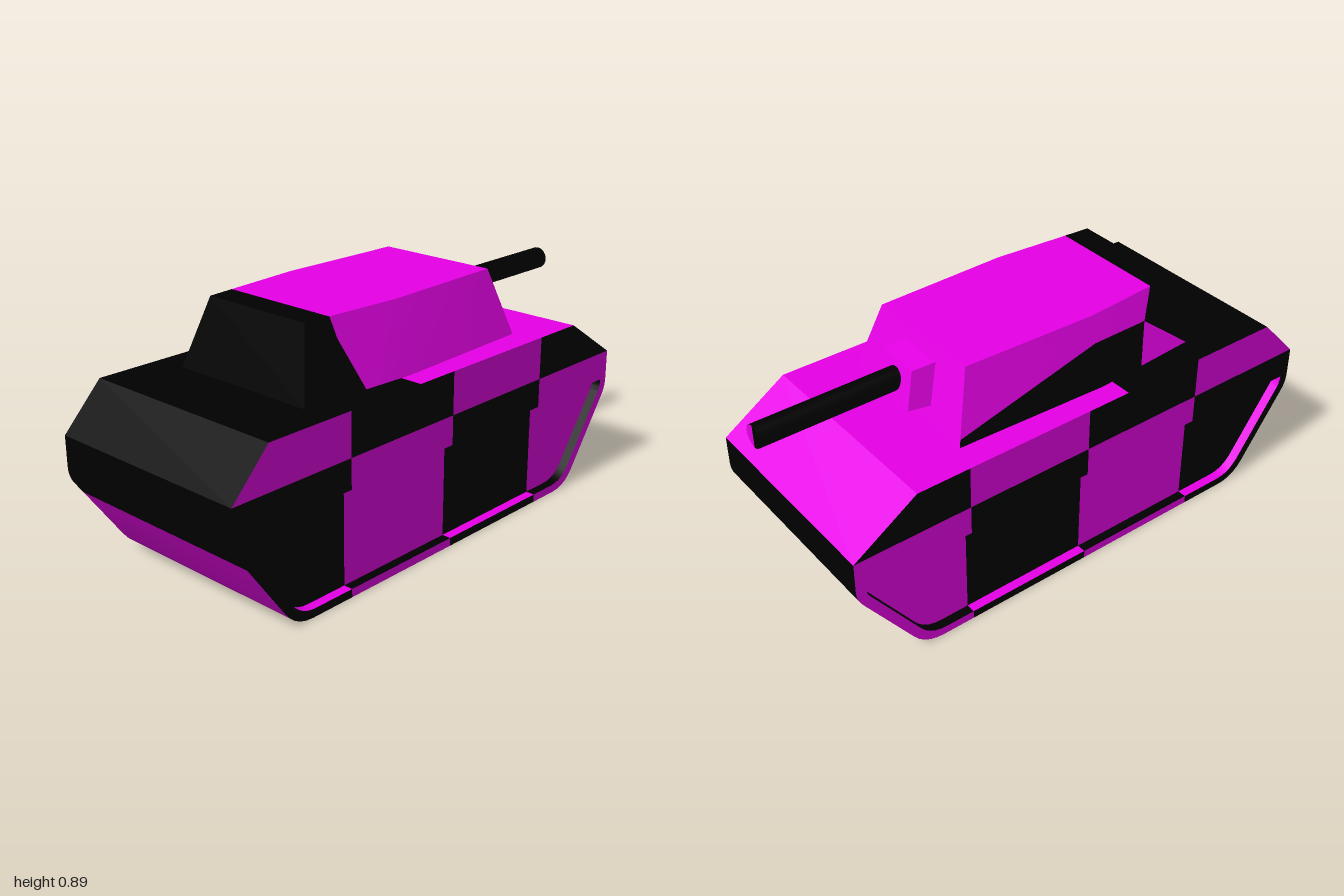
import * as THREE from 'three';
import { toCreasedNormals } from 'three/addons/utils/BufferGeometryUtils.js';

const BLACK = 0, PINK = 1;
const HALF = 0.403, DEPTH = 0.035;
const COLUMNS = [-0.505, -0.01, 0.48];

// Collects convex polygons into one bucket per colour
class Part {
  constructor(name) { this.name = name; this.buckets = [[], []]; }
  add(pts, out, colour) {
    const p = pts.map(a => new THREE.Vector3(...a));
    const n = new THREE.Vector3();
    for (let i = 1; i < p.length - 1; i++) {
      n.add(p[i].clone().sub(p[0]).cross(p[i + 1].clone().sub(p[0])));
    }
    if (p.length < 3 || n.length() < 1e-9) return;
    if (n.dot(new THREE.Vector3(...out)) < 0) p.reverse();
    for (let i = 1; i < p.length - 1; i++) {
      for (const v of [p[0], p[i], p[i + 1]]) this.buckets[colour].push(v.x, v.y, v.z);
    }
  }
  mesh(materials) {
    const geo = new THREE.BufferGeometry();
    const [a, b] = this.buckets;
    geo.setAttribute('position', new THREE.Float32BufferAttribute([...a, ...b], 3));
    geo.addGroup(0, a.length / 3, BLACK);
    geo.addGroup(a.length / 3, b.length / 3, PINK);
    const mesh = new THREE.Mesh(toCreasedNormals(geo, 0.5), materials);
    mesh.name = this.name;
    return mesh;
  }
}

// Cuts a convex polygon at an axis value into [lower, higher]
function split(pts, axis, value) {
  const low = [], high = [];
  pts.forEach((a, i) => {
    const b = pts[(i + 1) % pts.length];
    const da = a[axis] - value, db = b[axis] - value;
    if (da <= 0) low.push(a);
    if (da >= 0) high.push(a);
    if (da * db < 0) {
      const c = a.map((v, k) => v + (b[k] - v) * da / (da - db));
      low.push(c);
      high.push(c);
    }
  });
  return [low, high];
}

// Alternates the colours along the length of a side face
function addColumns(part, pts, out, first) {
  let rest = pts;
  COLUMNS.forEach((x, i) => {
    const [low, high] = split(rest, 0, x);
    part.add(low, out, (first + i) % 2);
    rest = high;
  });
  part.add(rest, out, (first + 3) % 2);
}

// Lower hull outline from front to rear with rounded corners
function lowerChain(ends, corners, cuts) {
  const all = [ends[0], ...corners, ends[1]].map(p => new THREE.Vector2(...p));
  const chain = [ends[0]];
  corners.forEach((_, i) => {
    const c = all[i + 1];
    const toward = q => c.clone().add(q.clone().sub(c).setLength(cuts[i]));
    new THREE.QuadraticBezierCurve(toward(all[i]), c, toward(all[i + 2]))
      .getPoints(5).forEach(p => chain.push([p.x, p.y]));
  });
  chain.push(ends[1]);
  return chain;
}

function buildHull(materials) {
  const group = new THREE.Group();
  group.name = 'hull';
  const outer = lowerChain([[0.92, 0.38], [-1, 0.38]],
    [[0.92, 0.342], [0.677, 0], [-0.757, 0], [-1, 0.342]], [0.036, 0.075, 0.075, 0.036]);
  const inner = lowerChain([[0.885, 0.38], [-0.965, 0.38]],
    [[0.885, 0.353], [0.655, 0.03], [-0.735, 0.03], [-0.965, 0.353]], [0.025, 0.065, 0.065, 0.025]);

  // Plates across the width: deck, nose, belly and tail
  const shell = new Part('hullShell');
  const loop = [...outer, [-1, 0.488], [-0.85, 0.645], [0.68, 0.645], [0.92, 0.488]];
  loop.forEach((a, i) => {
    const b = loop[(i + 1) % loop.length];
    const quad = [[...a, HALF], [...b, HALF], [...b, -HALF], [...a, -HALF]];
    const out = [b[1] - a[1], a[0] - b[0], 0].map(v => -v);
    // the loop runs clockwise, so outward is to the right of travel
    const mid = [(a[0] + b[0]) / 2 + 0.04, (a[1] + b[1]) / 2 - 0.33, 0];
    const dir = out[0] * mid[0] + out[1] * mid[1] < 0 ? out.map(v => -v) : out;
    if (a[1] + b[1] > 1) {
      const [rear, front] = split(quad, 0, -0.18);
      shell.add(rear, dir, BLACK);
      shell.add(front, dir, PINK);
    } else {
      const [rear, front] = split(quad, 0, 0.05);
      const [belly, tail] = split(rear, 1, 0.27);
      shell.add(front, dir, BLACK);
      shell.add(belly, dir, PINK);
      shell.add(tail, dir, BLACK);
    }
  });
  group.add(shell.mesh(materials));

  // Both sides, each with a shallow recessed panel
  for (const s of [1, -1]) {
    const side = new Part(s > 0 ? 'frontSide' : 'backSide');
    const recess = new Part(s > 0 ? 'frontRecess' : 'backRecess');
    const at = (pts, z) => pts.map(p => [...p, s * z]);
    const out = [0, 0, s];
    addColumns(side, at([[-1, 0.488], [0.92, 0.488], [0.68, 0.645], [-0.85, 0.645]], HALF), out, PINK);
    addColumns(side, at([[-1, 0.38], [0.92, 0.38], [0.92, 0.488], [-1, 0.488]], HALF), out, BLACK);
    for (let i = 0; i < outer.length - 1; i++) {
      addColumns(side, at([outer[i], outer[i + 1], inner[i + 1], inner[i]], HALF), out, BLACK);
    }
    addColumns(recess, at(inner, HALF - DEPTH), out, BLACK);
    inner.forEach((a, i) => {
      const b = inner[(i + 1) % inner.length];
      const wall = [...at([a, b], HALF), ...at([b, a], HALF - DEPTH)];
      addColumns(recess, wall, [-0.04 - (a[0] + b[0]) / 2, 0.2 - (a[1] + b[1]) / 2, 0], PINK);
    });
    group.add(side.mesh(materials), recess.mesh(materials));
  }
  return group;
}

function buildTurret(materials) {
  const turret = new Part('turret');
  // Half-plan corners, front to rear: [x, z] at the base and at the roof
  const base = [[0.445, 0.30], [-0.14, 0.322], [-0.595, 0.29]];
  const roof = [[0.37, 0.235], [-0.13, 0.25], [-0.52, 0.22]];
  const corner = (i, v, s) => [
    base[i][0] + (roof[i][0] - base[i][0]) * v, 0.645 + 0.245 * v,
    s * (base[i][1] + (roof[i][1] - base[i][1]) * v)];
  // A patch on one side panel, given as [along, up] fractions
  const patch = (i, s, uv, colour) => turret.add(uv.map(([u, v]) => {
    const a = corner(i, v, s), b = corner(i + 1, v, s);
    return a.map((n, k) => n + (b[k] - n) * u);
  }), [0, 0, s], colour);

  const top = [0, 1, 2].map(i => corner(i, 1, 1)).concat([2, 1, 0].map(i => corner(i, 1, -1)));
  const [rear, front] = split(top, 0, -0.42);
  turret.add(rear, [0, 1, 0], BLACK);
  turret.add(front, [0, 1, 0], PINK);
  const end = i => [corner(i, 0, 1), corner(i, 1, 1), corner(i, 1, -1), corner(i, 0, -1)];
  turret.add(end(0), [1, 0, 0], PINK);
  turret.add(end(2), [-1, 0, 0], BLACK);

  patch(0, 1, [[0, 0], [1, 0], [1, 1], [0, 1]], PINK);
  patch(1, 1, [[0, 0], [0.43, 0], [0.67, 0.71], [0.74, 1], [0, 1]], PINK);
  patch(1, 1, [[1, 0], [1, 1], [0.74, 1], [0.67, 0.71], [0.43, 0]], BLACK);

  patch(0, -1, [[0, 1], [1, 1], [1, 0.62], [0, 0.1]], PINK);
  patch(0, -1, [[0, 0.1], [1, 0.62], [1, 0], [0, 0]], BLACK);
  patch(1, -1, [[0, 1], [0.74, 1], [0.56, 0.58], [0, 0.62]], PINK);
  patch(1, -1, [[0, 0.62], [0.56, 0.58], [0.4, 0], [0, 0]], BLACK);
  patch(1, -1, [[0.56, 0.58], [0.9, 0], [0.4, 0]], PINK);
  patch(1, -1, [[1, 0], [1, 1], [0.74, 1], [0.56, 0.58], [0.9, 0]], BLACK);
  return turret.mesh(materials);
}

function buildMantlet(materials) {
  const mantlet = new Part('mantlet');
  const back = [[0.38, 0.84, 0.095], [0.38, 0.84, -0.095], [0.42, 0.70, -0.12], [0.42, 0.70, 0.12]];
  const face = [[0.47, 0.832, 0.082], [0.47, 0.832, -0.082], [0.508, 0.706, -0.107], [0.508, 0.706, 0.107]];
  const outs = [[0, 1, 0], [0, 0, -1], [0, -1, 0], [0, 0, 1]];
  mantlet.add(face, [1, 0, 0], PINK);
  outs.forEach((out, i) => {
    const j = (i + 1) % 4;
    mantlet.add([back[i], back[j], face[j], face[i]], out, PINK);
  });
  return mantlet.mesh(materials);
}

function buildGun([black, pink]) {
  const group = new THREE.Group();
  group.name = 'gun';
  const barrel = new THREE.Mesh(
    new THREE.CylinderGeometry(0.041, 0.041, 0.53, 24, 1, true).rotateZ(Math.PI / 2), black);
  barrel.name = 'barrel';
  barrel.position.set(0.735, 0.77, 0);
  group.add(barrel);
  // Muzzle cap in two halves
  [pink, black].forEach((material, i) => {
    const start = Math.PI / 2 + i * Math.PI;
    const half = new THREE.Mesh(
      new THREE.CircleGeometry(0.041, 12, start, Math.PI).rotateY(Math.PI / 2), material);
    half.name = i ? 'muzzleBlackHalf' : 'muzzlePinkHalf';
    half.position.set(1, 0.77, 0);
    group.add(half);
  });
  return group;
}

export function createModel() {
  const black = new THREE.MeshStandardMaterial({ color: 0x000000 });
  black.name = 'black';
  const pink = new THREE.MeshStandardMaterial({ color: 0xff00ff });
  pink.name = 'magenta';
  const materials = [black, pink];
  const model = new THREE.Group();
  model.name = 'tank';
  model.add(buildHull(materials), buildTurret(materials), buildMantlet(materials), buildGun(materials));
  return model;
}
